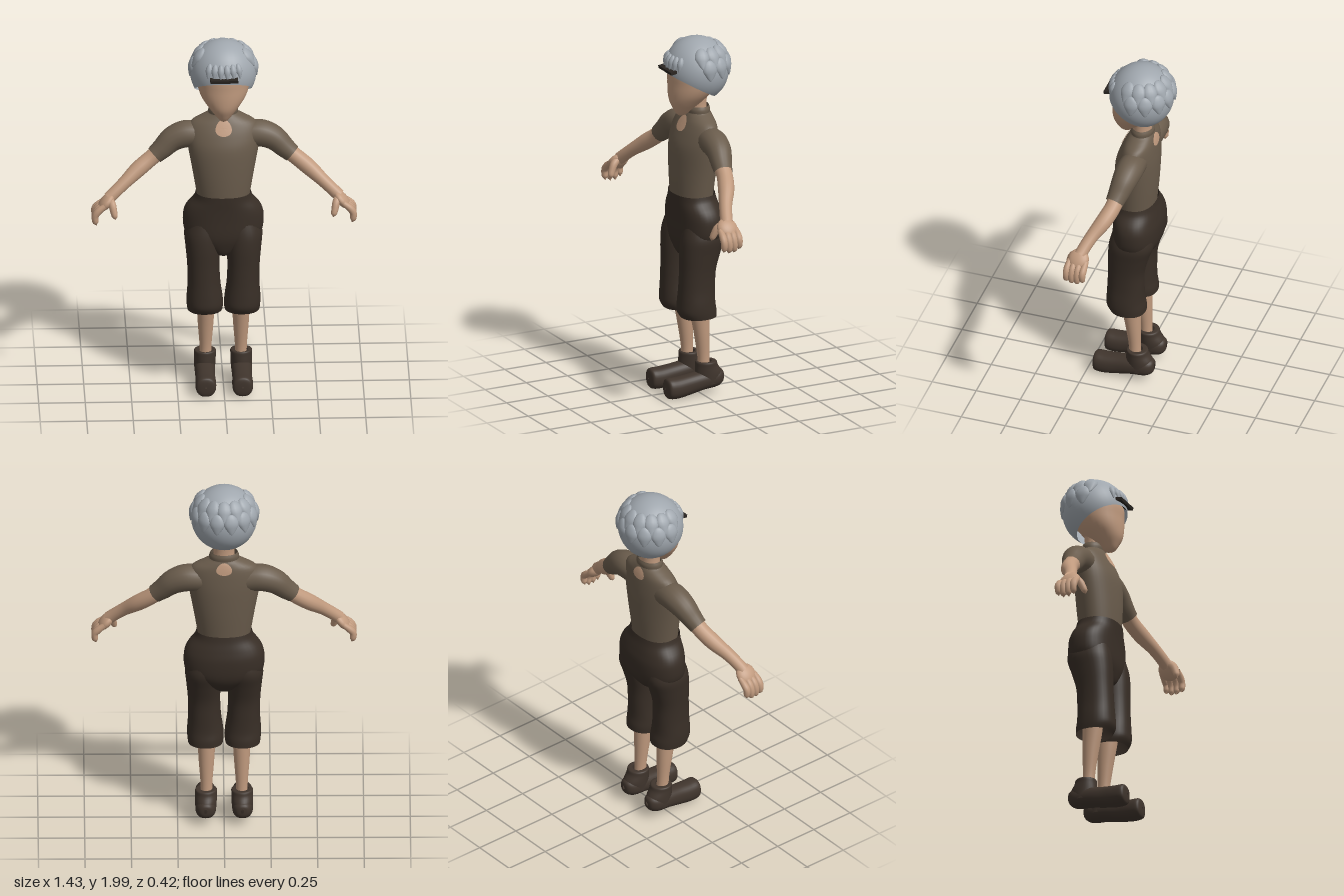
import * as THREE from 'three';
import { mergeVertices } from 'three/addons/utils/BufferGeometryUtils.js';

const mat = (name, color, side = THREE.FrontSide) =>
  Object.assign(new THREE.MeshStandardMaterial({ color, side }), { name });

// Value of a table of rows at fractional row index t (smooth spline)
function rowAt(rows, t) {
  const i = Math.min(Math.floor(t), rows.length - 2), f = t - i;
  const at = k => rows[Math.max(0, Math.min(rows.length - 1, k))];
  return rows[i].map((_, c) => {
    const p = at(i - 1)[c], q = at(i)[c], r = at(i + 1)[c], s = at(i + 2)[c];
    return q + 0.5 * f * (r - p + f * (2 * p - 5 * q + 4 * r - s + f * (3 * (q - r) + s - p)));
  });
}

// Upright loft; rows are [y, centreX, centreZ, radiusX, radiusZ], bottom to top
function loft(rows, n = 2, seg = 32, steps = 4) {
  const pos = [], idx = [], count = (rows.length - 1) * steps;
  const pw = v => Math.sign(v) * Math.abs(v) ** (2 / n);
  for (let i = 0; i <= count; i++) {
    const [y, cx, cz, rx, rz] = rowAt(rows, i / steps);
    for (let j = 0; j < seg; j++) {
      const a = j / seg * Math.PI * 2;
      pos.push(cx + rx * pw(Math.cos(a)), y, cz + rz * pw(Math.sin(a)));
      if (i < count) {
        const p = i * seg + j, q = i * seg + (j + 1) % seg;
        idx.push(p, p + seg, q, p + seg, q + seg, q);
      }
    }
  }
  const g = new THREE.BufferGeometry();
  g.setAttribute('position', new THREE.Float32BufferAttribute(pos, 3));
  g.setIndex(idx);
  g.computeVertexNormals();
  return g;
}

// Round limb through points [x, y, z, radius]
function limb(pts, seg = 18, steps = 24) {
  const curve = new THREE.CatmullRomCurve3(pts.map(p => new THREE.Vector3(p[0], p[1], p[2])));
  const g = new THREE.TubeGeometry(curve, steps, 1, seg, false);
  const P = g.attributes.position, N = g.attributes.normal;
  for (let i = 0; i < P.count; i++) {
    const u = Math.floor(i / (seg + 1)) / steps;
    const c = curve.getPointAt(u), r = rowAt(pts, curve.getUtoTmapping(u) * (pts.length - 1))[3];
    P.setXYZ(i, c.x + N.getX(i) * r, c.y + N.getY(i) * r, c.z + N.getZ(i) * r);
  }
  g.deleteAttribute('uv');
  g.deleteAttribute('normal');
  const m = mergeVertices(g, 1e-5);
  m.computeVertexNormals();
  return m;
}

const TORSO = [
  [1.1, 0, 0.01, 0.14, 0.106], [1.14, 0, 0.01, 0.146, 0.11], [1.26, 0, 0.006, 0.166, 0.116],
  [1.39, 0, 0, 0.189, 0.114], [1.47, 0, -0.01, 0.195, 0.1], [1.53, 0, -0.02, 0.175, 0.083],
  [1.565, 0, -0.025, 0.115, 0.07], [1.585, 0, -0.026, 0.078, 0.061], [1.612, 0, -0.026, 0.07, 0.056],
];

// Oval patch laid on the torso, front (1) or back (-1)
function torsoPatch(cy, w, h, dir) {
  const g = new THREE.RingGeometry(0.001, 1, 28, 5), P = g.attributes.position;
  for (let i = 0; i < P.count; i++) {
    const x = P.getX(i) * w * (1 - 0.25 * P.getY(i)), y = cy + P.getY(i) * h;
    let t = 0;
    while (t < TORSO.length - 1 && rowAt(TORSO, t)[0] < y) t += 0.01;
    const [, , cz, rx, rz] = rowAt(TORSO, Math.min(t, TORSO.length - 1));
    P.setXYZ(i, x, y, cz + dir * (rz * Math.sqrt(Math.max(0, 1 - (x / rx) ** 2)) + 0.004));
  }
  g.computeVertexNormals();
  return g;
}

export function createModel() {
  const model = new THREE.Group();
  model.name = 'figure';
  const skin = mat('skin', 0xc09a7e, THREE.DoubleSide);
  const shirt = mat('shirt', 0x6a5c4c, THREE.DoubleSide);
  const cloth = mat('trousers', 0x382e26, THREE.DoubleSide);
  const leather = mat('shoe leather', 0x40352d, THREE.DoubleSide);
  const grey = mat('grey hair', 0xa0a7ae, THREE.DoubleSide);
  const dark = mat('dark band', 0x2a2521);
  const add = (name, geo, m, parent = model) => {
    const mesh = new THREE.Mesh(geo, m);
    mesh.name = name;
    parent.add(mesh);
    return mesh;
  };

  // Head and neck
  add('head', loft([
    [1.566, 0, 0.072, 0.004, 0.006], [1.58, 0, 0.068, 0.026, 0.032], [1.61, 0, 0.06, 0.052, 0.058],
    [1.65, 0, 0.043, 0.085, 0.092], [1.7, 0, 0.022, 0.12, 0.118], [1.76, 0, 0.002, 0.141, 0.137],
    [1.84, 0, -0.005, 0.145, 0.14], [1.92, 0, -0.01, 0.1, 0.1], [1.95, 0, -0.01, 0.01, 0.01],
  ]), skin);
  add('neck', loft([[1.56, 0, -0.026, 0.06, 0.05], [1.64, 0, -0.022, 0.056, 0.052], [1.74, 0, -0.02, 0.07, 0.065]]), skin);

  // Shirt body, collar and neck openings
  add('shirtBody', loft(TORSO, 2, 40), shirt);
  add('collar', loft([[1.578, 0, -0.026, 0.08, 0.062], [1.6, 0, -0.026, 0.08, 0.064], [1.618, 0, -0.026, 0.072, 0.058]]), shirt);
  add('frontNeckOpening', torsoPatch(1.525, 0.043, 0.043, 1), skin);
  add('backNeckOpening', torsoPatch(1.545, 0.042, 0.034, -1), skin);

  // Hair cap, a sphere cut by a plane that falls toward the back
  const hair = new THREE.Group();
  hair.name = 'hair';
  hair.position.set(0, 1.82, -0.02);
  model.add(hair);
  const cap = new THREE.SphereGeometry(1, 40, 20, 0, Math.PI * 2, 0, 2.1);
  cap.rotateX(-0.51).scale(0.178, 0.18, 0.175);
  add('hairCap', cap, grey, hair);

  // Pointed tufts over the cap
  const tuft = new THREE.SphereGeometry(1, 14, 12);
  const T = tuft.attributes.position;
  for (let i = 0; i < T.count; i++) {
    const y = T.getY(i), k = y < 0 ? 1 + 0.55 * y : 1;
    T.setXYZ(i, T.getX(i) * k, y, T.getZ(i) * k);
  }
  tuft.computeVertexNormals();
  const addTuft = (name, az, el, w, h, d) => {
    const pivot = new THREE.Group();
    pivot.name = name;
    pivot.rotation.set(-el, az, 0, 'YXZ');
    hair.add(pivot);
    const m = add(name + 'Lobe', tuft, grey, pivot);
    m.position.z = 0.172;
    m.scale.set(w, h, d);
  };
  const deg = Math.PI / 180;
  for (let i = 0; i < 9; i++) addTuft('upperTuft', (75 + 26.25 * i) * deg, 0.6, 0.04, 0.06, 0.022);
  for (let i = 0; i < 8; i++) addTuft('lowerTuft', (88 + 26.25 * i) * deg, 0.2, 0.042, 0.058, 0.022);
  for (let i = 0; i < 6; i++) addTuft('fringeTuft', (i - 2.5) * 12 * deg, 0.36, 0.019, 0.042, 0.018);
  const band = add('foreheadBand', new THREE.BoxGeometry(0.15, 0.016, 0.04), dark);
  band.position.set(0, 1.84, 0.152);
  band.rotation.x = 0.15;

  // Seat of the trousers
  add('trouserSeat', loft([
    [0.77, 0, 0.02, 0.02, 0.03], [0.79, 0, 0.015, 0.05, 0.075], [0.84, 0, 0.002, 0.13, 0.108],
    [0.9, 0, -0.006, 0.205, 0.127], [0.99, 0, -0.008, 0.217, 0.128], [1.05, 0, -0.002, 0.2, 0.122],
    [1.1, 0, 0.006, 0.16, 0.116], [1.135, 0, 0.01, 0.148, 0.113],
  ], 2.3, 40), cloth);

  for (const s of [1, -1]) {
    const side = new THREE.Group();
    side.name = s > 0 ? 'leftLimbs' : 'rightLimbs';
    model.add(side);

    // Trouser leg, gathered at the hem
    add('trouserLeg', loft([
      [0.455, 0.1, 0.022, 0.094, 0.098], [0.49, 0.1, 0.032, 0.098, 0.107], [0.54, 0.102, 0.036, 0.096, 0.103],
      [0.62, 0.105, 0.034, 0.088, 0.1], [0.72, 0.108, 0.03, 0.087, 0.1], [0.82, 0.11, 0.016, 0.094, 0.113],
      [0.9, 0.11, 0, 0.1, 0.122], [0.97, 0.1, -0.005, 0.09, 0.11],
    ].map(([y, x, ...r]) => [y, x * s, ...r]), 2.2), cloth, side);

    // Shin
    add('shin', loft([
      [0.14, 0.095 * s, -0.015, 0.033, 0.034], [0.22, 0.095 * s, -0.012, 0.032, 0.033],
      [0.34, 0.095 * s, -0.003, 0.041, 0.042], [0.46, 0.095 * s, 0.008, 0.048, 0.053],
      [0.6, 0.1 * s, 0.02, 0.055, 0.06],
    ]), skin, side);

    // Shoe: foot lofted heel to toe, then the ankle cuff
    const foot = loft([
      [-0.125, 0, -0.1, 0.008, 0.012], [-0.117, 0, -0.097, 0.034, 0.036], [-0.08, 0, -0.093, 0.054, 0.052],
      [0, 0, -0.086, 0.055, 0.053], [0.08, 0, -0.073, 0.053, 0.056], [0.15, 0, -0.065, 0.056, 0.058],
      [0.2, 0, -0.066, 0.053, 0.056], [0.214, 0, -0.067, 0.036, 0.04], [0.217, 0, -0.067, 0.004, 0.004],
    ], 2.3);
    foot.rotateX(Math.PI / 2).translate(0.099 * s, 0, 0);
    add('shoe', foot, leather, side);
    add('shoeCuff', loft([
      [0.07, 0.099 * s, -0.04, 0.055, 0.068], [0.12, 0.098 * s, -0.042, 0.058, 0.076],
      [0.165, 0.097 * s, -0.03, 0.058, 0.062], [0.19, 0.097 * s, -0.027, 0.057, 0.056],
      [0.191, 0.097 * s, -0.022, 0.034, 0.036],
    ]), leather, side);

    const arm = (name, pts, m, seg) => add(name, limb(pts.map(([x, ...r]) => [x * s, ...r]), seg), m, side);
    // Sleeve and arm
    arm('sleeve', [[0.1, 1.45, -0.02, 0.07], [0.2, 1.457, -0.02, 0.074], [0.27, 1.432, -0.014, 0.068],
      [0.33, 1.38, 0, 0.057], [0.37, 1.347, 0.01, 0.05]], shirt);
    arm('forearm', [[0.32, 1.385, 0, 0.045], [0.39, 1.33, 0.012, 0.044], [0.46, 1.278, 0.04, 0.044],
      [0.53, 1.222, 0.08, 0.036], [0.58, 1.18, 0.104, 0.034], [0.62, 1.145, 0.12, 0.034]], skin);

    // Hand with four fingers and a thumb
    const palm = add('palm', new THREE.SphereGeometry(1, 18, 14), skin, side);
    palm.position.set(0.634 * s, 1.125, 0.124);
    palm.scale.set(0.06, 0.03, 0.058);
    palm.rotation.z = -0.85 * s;
    for (let i = 0; i < 4; i++) {
      const z = 0.08 + i * 0.03, d = [0.015, 0, 0, 0.008][i];
      arm('finger', [[0.64, 1.12, z, 0.016], [0.678, 1.09, z + 0.002, 0.02], [0.694, 1.055 + d, z + 0.003, 0.019],
        [0.692, 1.02 + d, z + 0.003, 0.016], [0.686, 1.003 + d, z + 0.003, 0.002]], skin, 10);
    }
    arm('thumb', [[0.615, 1.15, 0.13, 0.02], [0.602, 1.125, 0.165, 0.021], [0.594, 1.09, 0.183, 0.019],
      [0.588, 1.065, 0.192, 0.015], [0.586, 1.052, 0.196, 0.002]], skin, 10);
  }
  return model;
}
